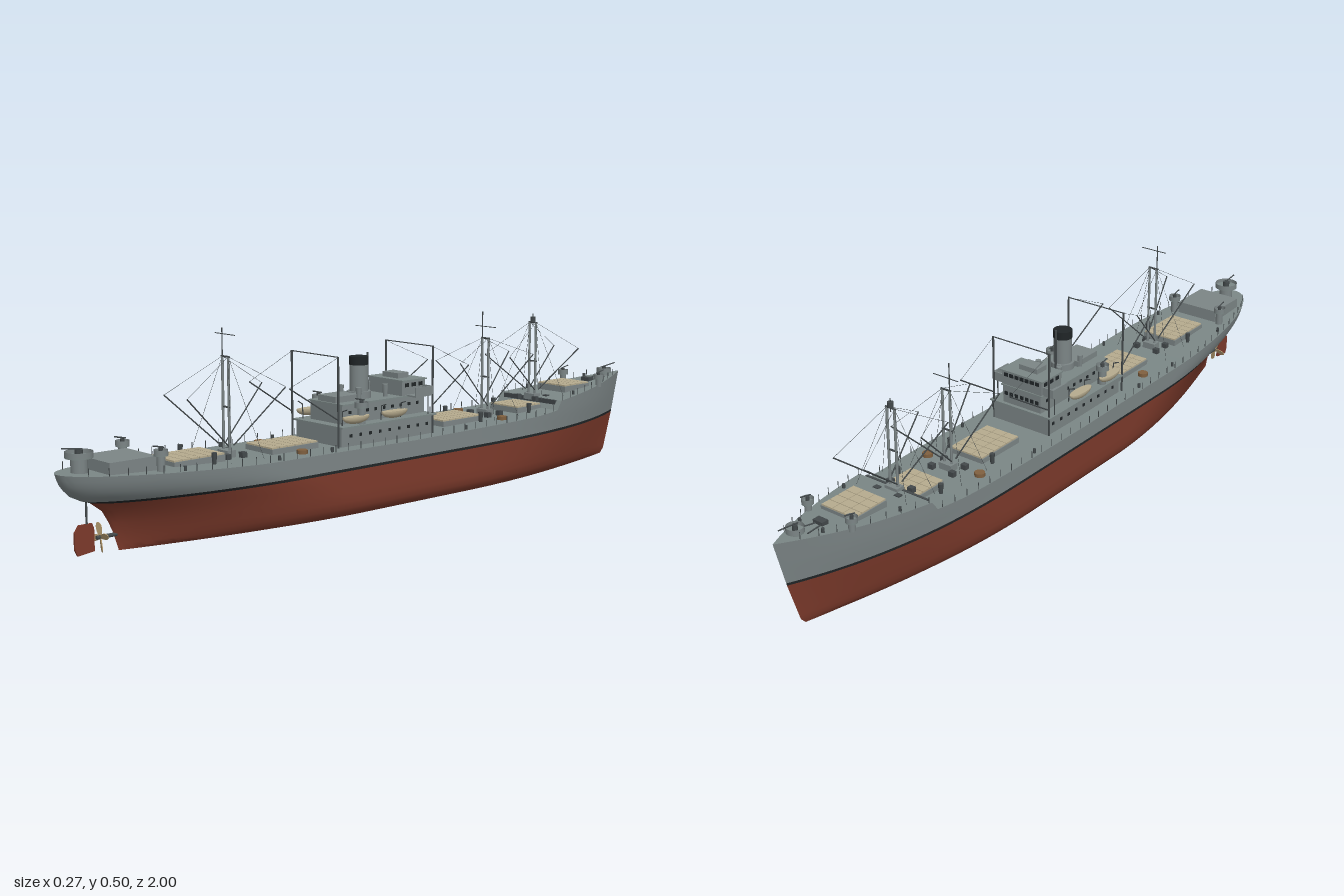
import * as THREE from 'three';
import { toCreasedNormals } from 'three/addons/utils/BufferGeometryUtils.js';

const paint = (name, color) => {
  const m = new THREE.MeshStandardMaterial({ color });
  m.name = name;
  return m;
};
const M = {
  grey: paint('hull grey', 0x7c8586), deck: paint('deck grey', 0x7b8786), red: paint('bottom red', 0x7c3a2b),
  black: paint('black', 0x202527), steel: paint('dark steel', 0x43494b), tan: paint('canvas tan', 0xb6ab8e),
  brass: paint('propeller bronze', 0xb39a70), rust: paint('raft brown', 0x80603f),
};
const { lerp, smoothstep } = THREE.MathUtils;
const V = (x, y, z) => new THREE.Vector3(x, y, z);

// Linear lookup in a list of [position, value] pairs
function look(t, x) {
  if (x <= t[0][0]) return t[0][1];
  for (let i = 1; i < t.length; i++)
    if (x <= t[i][0]) return lerp(t[i - 1][1], t[i][1], (x - t[i - 1][0]) / (t[i][0] - t[i - 1][0]));
  return t[t.length - 1][1];
}
const SHEER = [[-1, .25], [-.8, .228], [-.605, .212], [-.59, .186], [-.5, .18], [0, .175], [.5, .18], [.8, .193], [1, .203]];
const STERN = [[0, .84], [.02, .846], [.05, .856], [.08, .87], [.105, .885], [.125, .915], [.135, .947], [.15, .972], [.175, .99], [.2, 1]];
const BOW = [[0, -.92], [.015, -.934], [.125, -.968], [.25, -1]];
const deckY = z => look(SHEER, z);

// Half breadth of the hull at station s (0 stern, 1 bow) and height y
function half(s, y) {
  const k = smoothstep(y, 0, .2);
  const a = Math.min(1, (1 - s) / .4), b = Math.min(1, s / lerp(.38, .25, k));
  const bow = 1 - (1 - a) ** lerp(1.9, 3, k);
  const stern = lerp(1 - (1 - b) ** 1.8, Math.sqrt(1 - (1 - b) ** 2), k);
  const t = Math.max(0, 1 - y / .045);
  return .135 * bow * stern * (1 - .28 * (1 - Math.sqrt(1 - t * t)));
}
const hullPoint = (s, y, side) => V(side * half(s, y), y, lerp(look(STERN, y), look(BOW, y), s));
const stations = Array.from({ length: 81 }, (_, i) => (1 - Math.cos(Math.PI * i / 80)) / 2)
  .concat([.795, .8025]).sort((a, b) => a - b);
const edge = z => half((1 - z) / 2, deckY(z));

// Surface through rows of points
function skin(rows) {
  const n = rows[0].length, idx = [];
  for (let j = 0; j < rows.length - 1; j++)
    for (let i = 0; i < n - 1; i++) {
      const a = j * n + i, c = a + n;
      idx.push(a, a + 1, c, a + 1, c + 1, c);
    }
  const g = new THREE.BufferGeometry().setFromPoints(rows.flat());
  g.setIndex(idx);
  return toCreasedNormals(g, .6);
}

export function createModel() {
  const ship = new THREE.Group();
  ship.name = 'cargoShip';
  const add = (name, geo, mat, x = 0, y = 0, z = 0, parent = ship) => {
    const m = new THREE.Mesh(geo, mat);
    m.name = name;
    m.position.set(x, y, z);
    parent.add(m);
    return m;
  };
  // Box standing on height y
  const box = (name, mat, w, h, d, x, y, z) => add(name, new THREE.BoxGeometry(w, h, d), mat, x, y + h / 2, z);
  const cyl = (name, mat, r, h, x, y, z, n = 16, r2 = r) => add(name, new THREE.CylinderGeometry(r2, r, h, n), mat, x, y + h / 2, z);
  const rod = (name, mat, a, b, r, n = 6) => {
    const d = b.clone().sub(a), m = add(name, new THREE.CylinderGeometry(r, r, d.length(), n), mat);
    m.position.copy(a).add(b).multiplyScalar(.5);
    m.quaternion.setFromUnitVectors(V(0, 1, 0), d.normalize());
    return m;
  };

  // Hull in three painted bands
  const band = (name, mat, heights) => {
    const side = (k, list) => skin(heights.map(h => list.map(s => hullPoint(s, h(1 - 2 * s), k))));
    add(name + 'Left', side(1, stations), mat);
    add(name + 'Right', side(-1, [...stations].reverse()), mat);
  };
  band('hullBottom', M.red, [0, .003, .008, .016, .028, .045, .07, .1, .125].map(y => () => y));
  band('waterline', M.black, [() => .125, () => .132]);
  band('topsides', M.grey, [0, .2, .4, .6, .8, 1].map(f => z => lerp(.132, deckY(z), f)));
  const across = (h, k) => skin([k, -k].map(q => stations.map(s => hullPoint(s, h(1 - 2 * s), q))));
  add('deck', across(deckY, 1), M.deck);
  add('keelPlate', across(() => 0, -1), M.red);
  box('forecastleBulkhead', M.steel, .2, .024, .008, 0, .188, -.592);

  // Rudder and propeller
  const r = new THREE.Shape([[-.025, .01], [.02, .005], [.027, .02], [.027, .06], [.015, .077], [-.02, .077], [-.025, .065]].map(p => new THREE.Vector2(...p)));
  const rudder = add('rudder', new THREE.ExtrudeGeometry(r, { depth: .006, bevelEnabled: false }), M.red, .003, 0, .932);
  rudder.rotation.y = -Math.PI / 2;
  rudder.position.x = .003;
  rod('rudderStock', M.steel, V(0, .01, .925), V(0, .14, .925), .003);
  rod('propellerShaft', M.steel, V(0, .04, .82), V(0, .04, .9), .005, 10);
  const blade = new THREE.Shape();
  blade.moveTo(-.003, 0);
  blade.quadraticCurveTo(-.016, .026, -.005, .036);
  blade.quadraticCurveTo(.012, .034, .003, 0);
  for (let i = 0; i < 4; i++) {
    const b = add('propellerBlade', new THREE.ExtrudeGeometry(blade, { depth: .002, bevelEnabled: false }), M.brass, 0, .04, .888);
    b.rotation.set(0, 0, .15 + i * Math.PI / 2);
    b.rotateY(.35);
  }

  // Cargo hatches with plank covers
  for (const [z, len] of [[-.74, .11], [-.53, .1], [-.255, .15], [.345, .15], [.64, .15]]) {
    const y = deckY(z);
    box('hatchCoaming', M.grey, .108, .02, len, 0, y - .006, z);
    const n = Math.round(len / .025);
    for (let i = 0; i < n; i++)
      for (const x of [-.035, 0, .035])
        box('hatchCover', M.tan, .033, .004, len / n - .002, x, y + .014, z + (i + .5 - n / 2) * len / n);
  }

  // Midship house, bridge and funnel
  box('lowerHouse', M.grey, .18, .058, .325, 0, .17, .06);
  box('boatDeck', M.deck, .2, .004, .335, 0, .226, .06);
  box('upperHouse', M.grey, .125, .05, .295, 0, .23, .05);
  box('houseRoof', M.deck, .135, .004, .3, 0, .278, .05);
  box('bridge', M.grey, .13, .038, .085, 0, .282, -.055);
  box('bridgeWings', M.grey, .2, .004, .06, 0, .28, -.06);
  box('wingScreen', M.grey, .2, .022, .004, 0, .284, -.091);
  box('bridgeRoof', M.deck, .14, .004, .09, 0, .32, -.055);
  box('chartHouse', M.grey, .06, .014, .04, 0, .324, -.05);
  for (let i = -3; i <= 3; i++) {
    box('bridgeWindow', M.black, .012, .01, .003, i * .017, .307, -.098);
    box('houseWindow', M.black, .01, .01, .003, i * .017, .253, -.098);
  }
  for (const k of [-1, 1]) {
    box('wingEnd', M.grey, .004, .022, .06, k * .098, .284, -.06);
    rod('wingStrut', M.steel, V(k * .095, .23, -.08), V(k * .095, .28, -.08), .0015);
    for (let i = 0; i < 9; i++) {
      box('sidePort', M.black, .003, .008, .008, k * .0905, .2, -.08 + i * .034);
      box('upperPort', M.black, .003, .008, .008, k * .063, .255, -.07 + i * .03);
    }
    for (let i = 0; i < 3; i++) box('bridgeSideWindow', M.black, .003, .01, .014, k * .0655, .305, -.08 + i * .025);
  }
  cyl('funnel', M.grey, .025, .09, 0, .28, .083, 24);
  cyl('funnelTop', M.black, .026, .022, 0, .37, .083, 24);
  cyl('funnelBase', M.grey, .032, .02, 0, .28, .083, 24);
  rod('steamPipe', M.steel, V(0, .28, .052), V(0, .4, .052), .003);
  box('engineCasing', M.grey, .07, .018, .09, 0, .28, .15);
  for (const k of [-1, 1]) for (const z of [.02, .115]) cyl('ventilator', M.grey, .006, .035, k * .035, .28, z, 10, .008);

  // Lifeboats under davits
  const boatGeo = new THREE.SphereGeometry(1, 16, 8, 0, Math.PI * 2, Math.PI / 2, Math.PI / 2);
  for (const k of [-1, 1]) for (const z of [.04, .175]) {
    add('lifeboat', boatGeo, M.tan, k * .092, .252, z).scale.set(.015, .018, .045);
    add('boatCover', new THREE.CylinderGeometry(1, 1, 1, 16), M.tan, k * .092, .252, z).scale.set(.015, .003, .045);
    for (const d of [-.035, .035]) {
      rod('davit', M.steel, V(k * .078, .228, z + d), V(k * .08, .268, z + d), .0015);
      rod('davitArm', M.steel, V(k * .08, .268, z + d), V(k * .098, .274, z + d), .0015);
    }
  }

  // Goalpost derricks at both ends of the house
  for (const [z, dir] of [[.235, 1], [-.1, -1]]) {
    rod('goalpostBar', M.steel, V(-.093, .411, z), V(.093, .411, z), .0015);
    for (const k of [-1, 1]) {
      rod('goalpost', M.steel, V(k * .092, .17, z), V(k * .092, .412, z), .0028, 8);
      rod('boom', M.steel, V(k * .09, .25, z), V(k * .08, .345, z + dir * .15), .0018);
      rod('boomStay', M.steel, V(k * .092, .41, z), V(k * .08, .345, z + dir * .15), .0005, 3);
    }
  }

  // Twin-legged masts with booms, yards and stays
  for (const [z, legTop, top, yard] of [[.52, .43, .5, .485], [-.4, .4, .475, .433], [-.6, .43, .455, 0]]) {
    const y = deckY(z);
    for (const k of [-1, 1]) {
      rod('mastLeg', M.grey, V(k * .012, y, z), V(k * .012, legTop, z), .0035, 8);
      for (const d of [-1, 1]) {
        const tip = V(k * .048, .345, z + d * .15);
        rod('boom', M.steel, V(k * .018, y + .03, z + d * .008), tip, .0018);
        rod('boomStay', M.steel, V(k * .012, legTop, z), tip, .0005, 3);
        rod('shroud', M.steel, V(k * .012, legTop, z), V(k * .085, y, z + d * .05), .0005, 3);
        box('winch', M.steel, .016, .014, .014, k * .034, y, z + d * .024);
      }
      cyl('deckVent', M.steel, .005, .028, k * .07, deckY(z + .09), z + .09, 8, .007);
    }
    for (const f of [.5, 1]) rod('mastTie', M.steel, V(-.016, lerp(y, legTop, f), z), V(.016, lerp(y, legTop, f), z), .0025);
    box('mastHouse', M.grey, .04, .018, .026, 0, y, z);
    rod('topmast', M.steel, V(yard ? -.012 : 0, legTop - .01, z), V(yard ? -.012 : 0, top, z), .0016);
    if (yard) rod('yard', M.steel, V(-.04, yard, z), V(.04, yard, z), .0012);
    else cyl('lookoutNest', M.steel, .008, .013, 0, .433, z, 12);
  }

  // Stern house, gun tubs and guns
  box('sternHouse', M.grey, .13, .034, .13, 0, .192, .835);
  const gunTub = (x, y, z, radius, foot, dir, len) => {
    cyl('tubPedestal', M.grey, radius * .6, y - foot, x, foot, z, 12);
    cyl('tubFloor', M.deck, radius, .004, x, y, z, 20);
    const ring = new THREE.CylinderGeometry(radius, radius, .013, 20, 1, true);
    add('tubWall', ring, wall, x, y + .0085, z);
    cyl('gunMount', M.steel, radius * .3, .016, x, y + .003, z, 8);
    rod('gunBarrel', M.steel, V(x, y + .019, z - dir * .01), V(x, y + .026, z + dir * len), .0018);
  };
  const wall = M.grey.clone();
  wall.name = 'tub wall grey';
  wall.side = THREE.DoubleSide;
  gunTub(0, .235, .94, .033, .195, 1, .045);
  gunTub(0, .25, -.93, .022, .238, -1, .05);
  for (const k of [-1, 1]) {
    gunTub(k * .08, .228, .77, .017, .188, 1, .022);
    gunTub(k * .07, .248, -.82, .015, .225, -1, .022);
    gunTub(k * .085, .272, .15, .018, .228, 1, .02);
    // Life rafts, bollards and anchor gear
    for (const z of [.35, -.38]) cyl('raft', M.rust, .014, .01, k * .086, deckY(z), z, 12);
    for (const z of [-.88, -.68, -.2, .28, .45, .72]) cyl('bollard', M.steel, .004, .012, k * (edge(z) - .015), deckY(z), z, 8);
    rod('anchorChain', M.steel, V(k * .007, .235, -.85), V(k * .018, .241, -.91), .002);
  }
  box('windlass', M.steel, .03, .014, .02, 0, .23, -.85);

  // Rail stanchions along the deck edge
  const post = new THREE.CylinderGeometry(.0012, .0012, .02, 4);
  for (let z = -.94; z < .97; z += .042)
    for (const k of [-1, 1]) add('railPost', post, M.steel, k * (edge(z) - .003), deckY(z) + .009, z);
  return ship;
}
